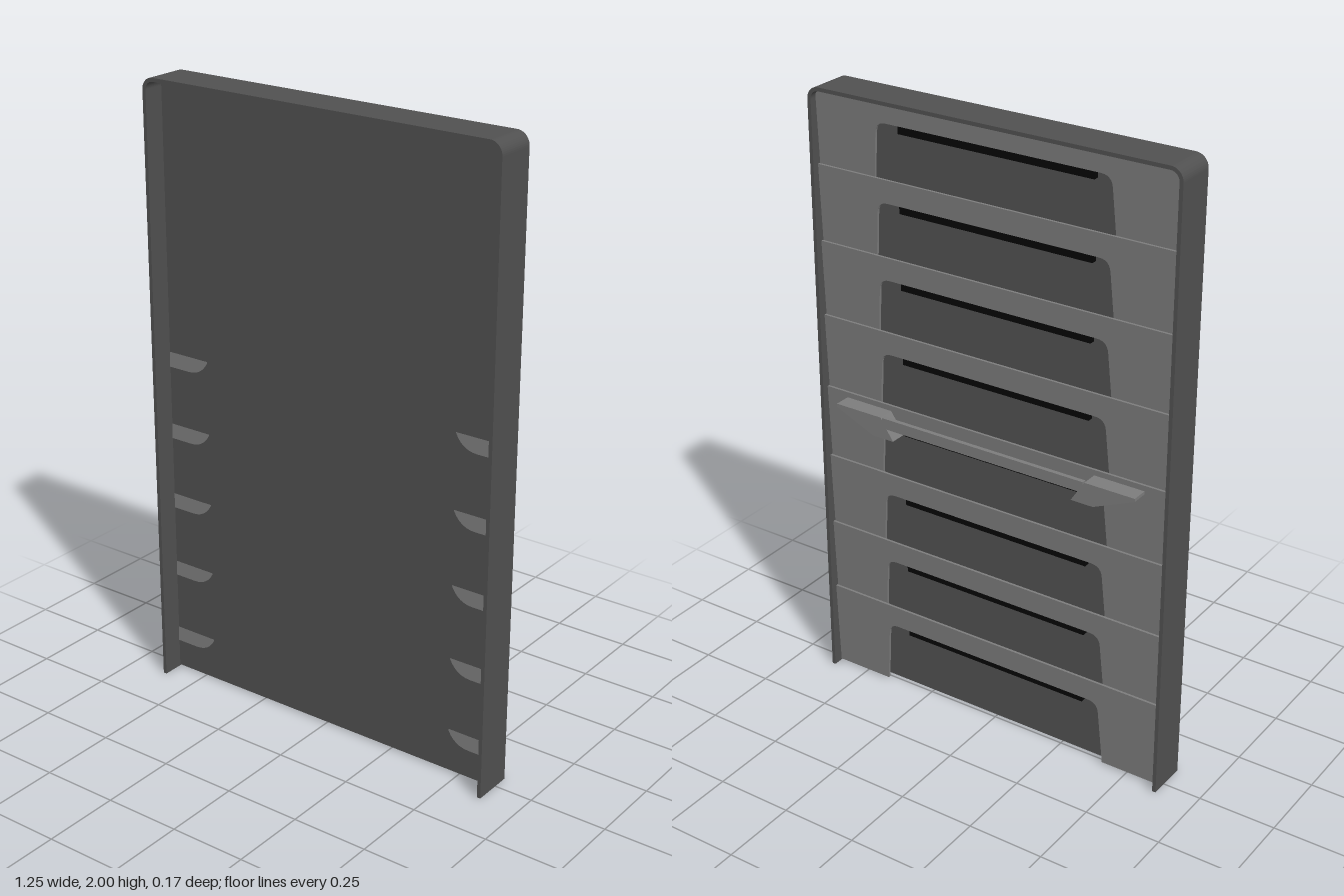
import * as THREE from 'three';

const W = 0.611, PITCH = 0.243, TILT = 0.042, BACK = -0.031;

const material = (color) => new THREE.MeshStandardMaterial({ color });

function extrude(shape, depth) {
  return new THREE.ExtrudeGeometry(shape, { depth, bevelEnabled: false, curveSegments: 6 });
}

// Lean a plate so that it comes forward as it runs down from its top edge
function lean(geometry, top) {
  const p = geometry.attributes.position;
  for (let i = 0; i < p.count; i++) {
    p.setZ(i, p.getZ(i) + BACK + TILT * (top - p.getY(i)));
  }
  geometry.computeVertexNormals();
  return geometry;
}

// Wide band with two flared legs and a round-cornered opening between them
function pocketShape(edge, bottom, notch, rounded) {
  const half = (y) => 0.395 + (notch - y) * 0.08;
  const h = half(bottom), r = 0.035;
  const s = new THREE.Shape();
  s.moveTo(-W, edge);
  s.lineTo(-W, bottom);
  if (rounded) {
    s.lineTo(-h - 0.07, bottom);
    s.quadraticCurveTo(-h - 0.02, bottom, -half(bottom + 0.045), bottom + 0.045);
  } else s.lineTo(-h, bottom);
  s.lineTo(-half(notch - r), notch - r);
  s.quadraticCurveTo(-0.395, notch, -0.395 + r, notch);
  s.lineTo(0.395 - r, notch);
  s.quadraticCurveTo(0.395, notch, half(notch - r), notch - r);
  if (rounded) {
    s.lineTo(half(bottom + 0.045), bottom + 0.045);
    s.quadraticCurveTo(h + 0.02, bottom, h + 0.07, bottom);
  } else s.lineTo(h, bottom);
  s.lineTo(W, bottom);
  s.lineTo(W, edge);
  s.closePath();
  return s;
}

export function createModel() {
  const root = new THREE.Group();
  root.name = 'pocketRack';
  const dark = material(0x505050), light = material(0x7c7c7c), black = material(0x050505);

  const add = (parent, name, geometry, mat) => {
    const mesh = new THREE.Mesh(geometry, mat);
    mesh.name = name;
    parent.add(mesh);
  };

  // Frame: thin sides and top with rounded upper corners, open at the bottom
  const X = 0.624, x = 0.612, R = 0.04, r = 0.028;
  const frame = new THREE.Shape();
  frame.moveTo(-X, 0);
  frame.lineTo(-x, 0);
  frame.lineTo(-x, 1.988 - r);
  frame.absarc(-x + r, 1.988 - r, r, Math.PI, Math.PI / 2, true);
  frame.absarc(x - r, 1.988 - r, r, Math.PI / 2, 0, true);
  frame.lineTo(x, 0);
  frame.lineTo(X, 0);
  frame.absarc(X - R, 2 - R, R, 0, Math.PI / 2, false);
  frame.absarc(-X + R, 2 - R, R, Math.PI / 2, Math.PI, false);
  frame.closePath();
  add(root, 'frame', extrude(frame, 0.134).translate(0, 0, -0.051), dark);

  // Flat backing plate that the lower ends of the legs pass through
  add(root, 'backingPlate', new THREE.BoxGeometry(2 * W, 1.983, 0.006).translate(0, 0.9965, 0.011), dark);

  // Eight overlapping pockets, each a light notched plate with a dark slot
  for (let i = 0; i < 8; i++) {
    const pocket = new THREE.Group();
    pocket.name = `pocket${i + 1}`;
    root.add(pocket);
    const top = 2 - PITCH * i, edge = Math.min(top, 1.986), notch = top - 0.073;
    const full = top - 0.93;
    const plate = pocketShape(edge, Math.max(0.005, full), notch, full > 0.005);
    add(pocket, 'pocketPlate', lean(extrude(plate, 0.008), top), light);

    const slot = new THREE.BoxGeometry(0.66, 0.04, 0.02).translate(0, notch - 0.01, -0.001);
    add(pocket, 'slot', slot, black);
  }

  // Handle on the back: two tapered wings joined by a thin bar
  const handle = new THREE.Group();
  handle.name = 'handle';
  root.add(handle);
  for (const side of [1, -1]) {
    const pts = [[0.365, 1.01], [0.32, 0.94], [0.395, 0.94], [0.533, 1.0], [0.533, 1.01]];
    const wing = new THREE.Shape(pts.map(([px, py]) => new THREE.Vector2(px * side, py)));
    add(handle, side > 0 ? 'leftWing' : 'rightWing', extrude(wing, 0.06).translate(0, 0, -0.084), light);
  }
  add(handle, 'bar', new THREE.BoxGeometry(0.72, 0.035, 0.014).translate(0, 0.9925, -0.077), light);

  return root;
}
